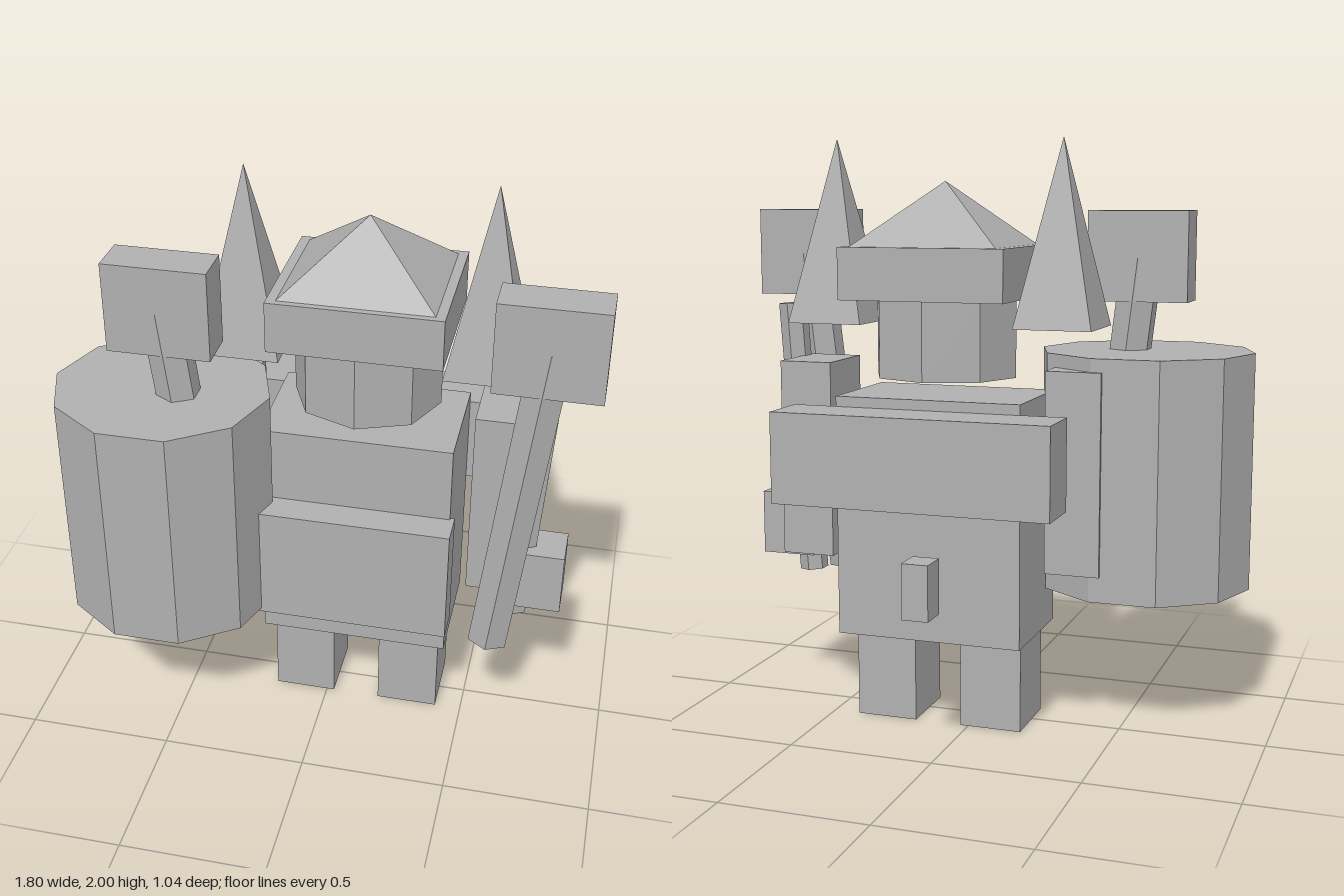
import * as THREE from 'three';

export function createModel() {
  const model = new THREE.Group();
  model.name = 'blockWarrior';
  const grey = new THREE.MeshStandardMaterial({ color: 0xb0b0b0, flatShading: true });
  grey.name = 'grey';

  const MID = 0.11; // the body's own centre line
  const mirrorX = (x) => 2 * MID - x;

  function add(name, geometry, x = 0, y = 0, z = 0) {
    const mesh = new THREE.Mesh(geometry, grey);
    mesh.name = name;
    mesh.position.set(x, y, z);
    model.add(mesh);
    return mesh;
  }

  // Box given by its extents on each axis
  function box(name, [x0, x1], [y0, y1], [z0, z1]) {
    return add(name, new THREE.BoxGeometry(x1 - x0, y1 - y0, z1 - z0),
      (x0 + x1) / 2, (y0 + y1) / 2, (z0 + z1) / 2);
  }

  // Four-sided pyramid with a rectangular base
  function pyramid(name, x, z, halfX, halfZ, y0, y1) {
    const g = new THREE.ConeGeometry(Math.SQRT2, y1 - y0, 4);
    g.rotateY(Math.PI / 4);
    g.scale(halfX, 1, halfZ);
    return add(name, g, x, (y0 + y1) / 2, z);
  }

  // Six-sided rod between two points
  function rod(name, radius, from, to) {
    const a = new THREE.Vector3(...from), b = new THREE.Vector3(...to);
    const dir = b.clone().sub(a);
    const mesh = add(name, new THREE.CylinderGeometry(radius, radius, dir.length(), 6));
    mesh.position.copy(a).add(b).multiplyScalar(0.5);
    mesh.quaternion.setFromUnitVectors(new THREE.Vector3(0, 1, 0), dir.normalize());
    return mesh;
  }

  // Body
  box('torso', [-0.215, 0.435], [0.32, 1.143], [-0.24, 0.16]);
  box('bellyPlate', [-0.23, 0.45], [0.465, 0.88], [0.15, 0.268]);
  box('backRoll', [-0.37, 0.59], [0.8, 1.108], [-0.425, -0.235]);
  box('tailBlock', [0, 0.09], [0.475, 0.66], [-0.522, -0.42]);

  // Head and hat
  const head = add('head', new THREE.CylinderGeometry(0.25, 0.25, 0.266, 8), MID, 1.338, -0.047);
  head.scale.z = 0.92;
  box('hatBrim', [-0.175, 0.395], [1.47, 1.643], [-0.302, 0.208]);
  pyramid('hatTop', MID, -0.047, 0.253, 0.232, 1.643, 1.857);

  // Mirrored parts
  for (const side of [1, -1]) {
    const label = side > 0 ? 'left' : 'right';
    const px = (x) => (side > 0 ? x : mirrorX(x));
    const span = (a, b) => [px(a), px(b)].sort((m, n) => m - n);
    box(label + 'Leg', span(0.193, 0.408), [0, 0.32], [-0.14, 0.103]);
    box(label + 'Arm', span(0.493, 0.68), [0.567, 1.245], [-0.155, 0.1]);
    pyramid(label + 'ShoulderSpike', px(0.513), -0.025, 0.133, 0.133, 1.377, 2);
    rod(label + 'HammerHandle', 0.074, [px(0.592), 0.45, 0.212], [px(0.727), 1.603, 0.212]);
    box(label + 'HammerHead', span(0.553, 0.897), [1.455, 1.76], [0.14, 0.284]);
  }

  // Hand holding a staff on the left side
  box('leftHand', [0.63, 0.823], [0.528, 0.752], [-0.028, 0.125]);
  rod('staff', 0.05, [0.66, 0.466, 0.045], [0.725, 1.432, 0.045]);

  // Ten-sided barrel on the right side
  const barrelShape = new THREE.CylinderGeometry(0.367, 0.367, 0.81, 10);
  barrelShape.rotateY(Math.PI / 2);
  barrelShape.scale(1, 1, 0.945);
  add('barrel', barrelShape, -0.535, 0.885, 0.187);

  return model;
}
